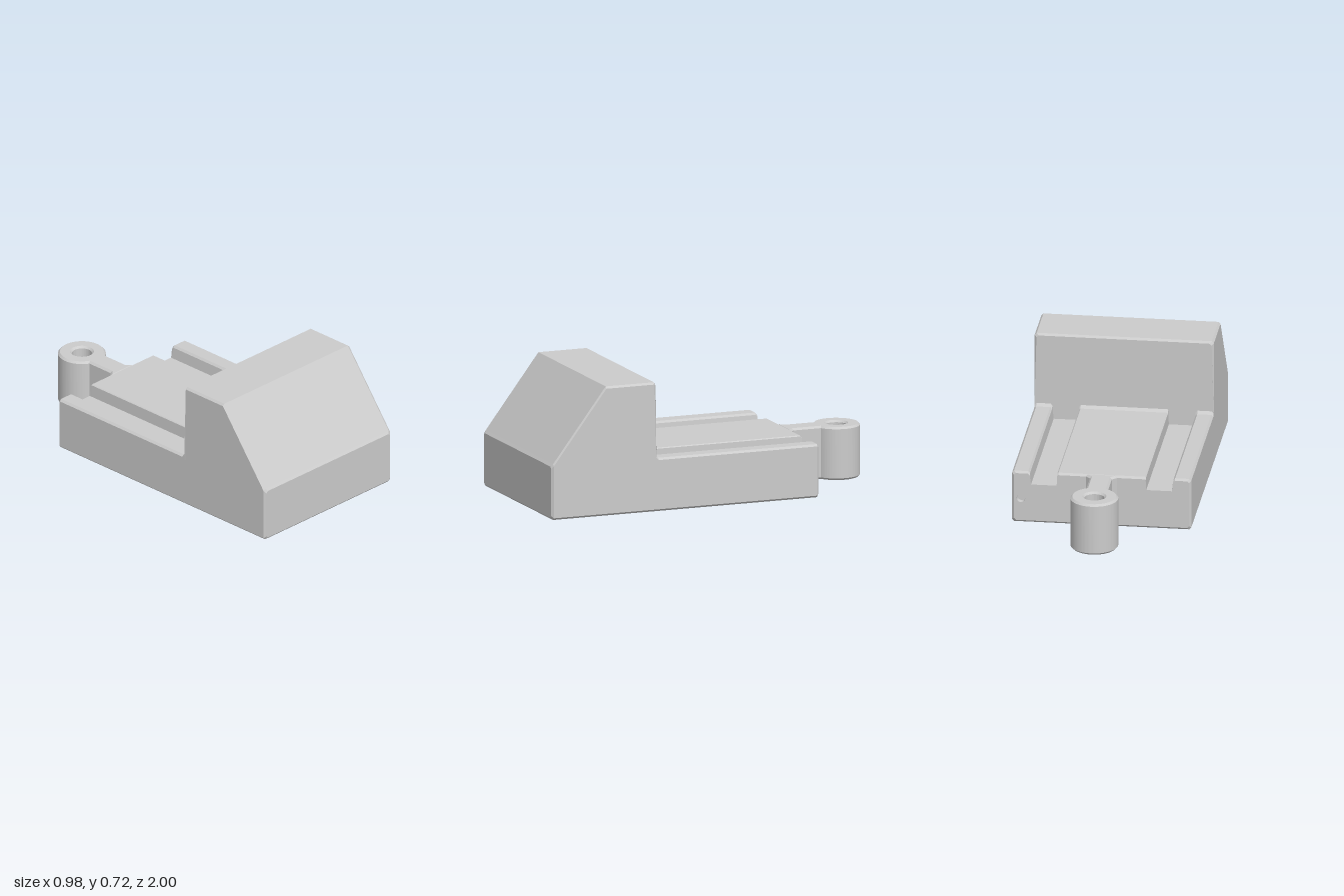
import * as THREE from 'three';
import { mergeGeometries, toCreasedNormals } from 'three/addons/utils/BufferGeometryUtils.js';

const HALF = 0.49, BED = 0.295, FLOOR = 0.222, C = 0.011;
const BACK = -0.57;

// Closed outline (counter-clockwise) of the body at one depth.
// top: height, floor: groove floor height, inset: chamfer of the end faces,
// sideInset: chamfer of the upper side edges only
function section({ top, floor = top, inset = 0, sideInset = inset }) {
  const grooved = floor < top;
  const lip = grooved ? top - C : top;
  const half = [
    [HALF - C - inset, inset],
    [HALF - inset, C + inset],
    [HALF - inset, BED - 2 * C],
    [HALF - sideInset, top - C],
    [HALF - C - sideInset, top],
    [0.402, top],          // rail, outer wall of the groove
    [0.392, lip],
    [0.385, floor],
    [0.245, floor],        // groove floor, inner wall
    [0.242, grooved ? top - 0.005 : top],
    [0.236, top],
  ];
  return [...half, ...half.map(([x, y]) => [-x, y]).reverse()];
}

// Flat end face of the body, with optional round holes
function endCap(points, z, flip, holes = []) {
  const shape = new THREE.Shape(points.map(([x, y]) => new THREE.Vector2(x, y)));
  holes.forEach(([x, y, r]) => {
    shape.holes.push(new THREE.Path().absarc(x, y, r, 0, Math.PI * 2, true));
  });
  const geo = new THREE.ShapeGeometry(shape, 16);
  if (flip) geo.index.array.reverse();
  geo.translate(0, 0, z);
  const flat = geo.toNonIndexed();
  flat.deleteAttribute('uv');
  flat.deleteAttribute('normal');
  return flat;
}

// Body skinned through cross-sections from back to front
function bodyGeometry(hole) {
  const bed = { top: BED, floor: FLOOR };
  const stations = [
    [BACK, { top: BED - C, floor: FLOOR, inset: C }],
    [BACK + C, bed],
    [0.372, bed],
    [0.387, { top: BED + 0.015, floor: FLOOR }],
    [0.387, { top: 0.705, sideInset: C }],
    [0.387 + C, { top: 0.716 }],
    [0.68, { top: 0.716 }],
    [1 - C, { top: 0.309 }],
    [1, { top: 0.295, inset: C }],
  ].map(([z, s]) => ({ z, pts: section(s) }));

  const pos = [];
  for (let i = 0; i < stations.length - 1; i++) {
    const s = stations[i], t = stations[i + 1], n = s.pts.length;
    for (let j = 0; j < n; j++) {
      const k = (j + 1) % n;
      const a = [...s.pts[j], s.z], b = [...s.pts[k], s.z];
      const c = [...t.pts[k], t.z], d = [...t.pts[j], t.z];
      pos.push(...a, ...b, ...c, ...a, ...c, ...d);
    }
  }
  const skin = new THREE.BufferGeometry();
  skin.setAttribute('position', new THREE.Float32BufferAttribute(pos, 3));

  const first = stations[0], last = stations[stations.length - 1];
  const geo = mergeGeometries([
    skin,
    endCap(first.pts, first.z, true, [hole]),
    endCap(last.pts, last.z, false),
  ]);
  geo.computeVertexNormals();
  return geo;
}

// Neck and ring in plan, extruded upward with chamfered edges
function connectorGeometry() {
  const r = 0.13, cy = 1 - r, neck = 0.06;
  const a = Math.asin(neck / r);
  const shape = new THREE.Shape();
  shape.moveTo(-0.085, 0.555);
  shape.lineTo(0.085, 0.555);
  shape.lineTo(0.085, 0.57);
  shape.lineTo(neck, 0.595);
  shape.absarc(0, cy, r, -Math.PI / 2 + a, Math.PI * 1.5 - a, false);
  shape.lineTo(-neck, 0.595);
  shape.lineTo(-0.085, 0.57);
  shape.holes.push(new THREE.Path().absarc(0, cy, 0.054, 0, Math.PI * 2, true));
  const geo = new THREE.ExtrudeGeometry(shape, {
    depth: BED - 2 * C, curveSegments: 48,
    bevelEnabled: true, bevelSegments: 1, bevelSize: C, bevelThickness: C, bevelOffset: -C,
  });
  geo.translate(0, 0, C);
  geo.rotateX(-Math.PI / 2);
  return toCreasedNormals(geo, Math.PI / 6);
}

export function createModel() {
  const group = new THREE.Group();
  group.name = 'trackBuffer';
  const grey = new THREE.MeshStandardMaterial({ color: 0xcccccc });
  const add = (name, geo, material = grey) => {
    const mesh = new THREE.Mesh(geo, material);
    mesh.name = name;
    group.add(mesh);
    return mesh;
  };

  const hole = [0.44, 0.14, 0.024];
  add('bufferBody', bodyGeometry(hole));
  add('connector', connectorGeometry());

  // Small blind hole in the back face
  const depth = 0.03;
  const inside = new THREE.MeshStandardMaterial({ color: 0xcccccc, side: THREE.DoubleSide });
  const wall = new THREE.CylinderGeometry(hole[2], hole[2], depth, 32, 1, true).rotateX(Math.PI / 2);
  add('pinHoleWall', wall, inside).position.set(hole[0], hole[1], BACK + depth / 2);
  const bottom = new THREE.CircleGeometry(hole[2], 32).rotateY(Math.PI);
  add('pinHoleBottom', bottom).position.set(hole[0], hole[1], BACK + depth);

  return group;
}
